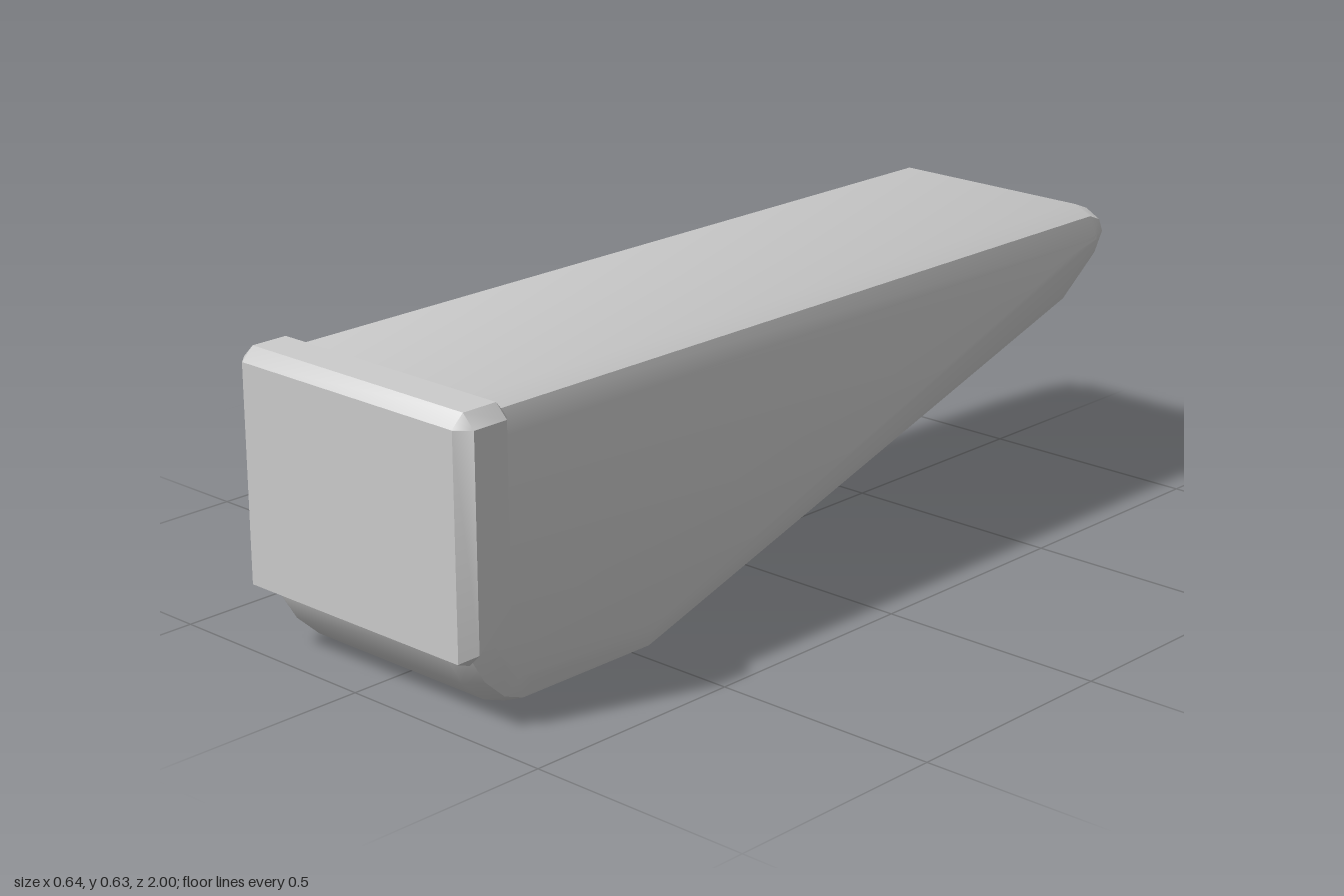
import * as THREE from 'three';
import { toCreasedNormals } from 'three/addons/utils/BufferGeometryUtils.js';

// Side outline of the wedge as [z, y], counter-clockwise
const OUTLINE = [
  [0.48, 0], [0.83, 0], [0.885, 0.02], [0.94, 0.07], [0.985, 0.145], [0.985, 0.56],
  [0.92, 0.626], [-0.935, 0.626], [-0.98, 0.608], [-1, 0.563], [-0.967, 0.507], [-0.85, 0.42],
];

// Wedge body: side outline extruded across the width with rounded rims
function wedgeBody() {
  const shape = new THREE.Shape(OUTLINE.map(([z, y]) => new THREE.Vector2(z, y)));
  const rim = 0.065, half = 0.302;
  const geo = new THREE.ExtrudeGeometry(shape, {
    depth: 2 * (half - rim), bevelEnabled: true, bevelThickness: rim,
    bevelSize: rim, bevelOffset: -rim, bevelSegments: 2,
  });
  geo.translate(0, 0, -(half - rim));
  geo.rotateY(-Math.PI / 2);
  return toCreasedNormals(geo, 0.65);
}

// Eight-cornered ring: half width, bottom, top and corner cut at one z
function ring([z, w, bottom, top, cut]) {
  return [
    [w - cut, bottom], [w, bottom + cut], [w, top - cut], [w - cut, top],
    [cut - w, top], [-w, top - cut], [-w, bottom + cut], [cut - w, bottom],
  ].map(([x, y]) => [x, y, z]);
}

// Front plate: rings joined from back to front, closed at both ends
function frontPlate() {
  const rings = [
    [0.87, 0.3, 0.225, 0.605, 0.01],
    [0.89, 0.322, 0.205, 0.627, 0.028],
    [0.972, 0.322, 0.133, 0.627, 0.028],
    [1, 0.294, 0.143, 0.6, 0.001],
  ].map(ring);
  const pos = rings.flat(2), index = [], n = 8;
  for (let r = 0; r < rings.length - 1; r++) {
    for (let i = 0; i < n; i++) {
      const a = r * n + i, b = r * n + (i + 1) % n;
      index.push(a, b, b + n, a, b + n, a + n);
    }
  }
  const last = (rings.length - 1) * n;
  for (let i = 1; i < n - 1; i++) {
    index.push(0, i + 1, i, last, last + i, last + i + 1);
  }
  const geo = new THREE.BufferGeometry();
  geo.setAttribute('position', new THREE.Float32BufferAttribute(pos, 3));
  geo.setIndex(index);
  return toCreasedNormals(geo, 0.7);
}

export function createModel() {
  const group = new THREE.Group();
  group.name = 'wedge';
  const grey = new THREE.MeshStandardMaterial({ color: 0xcccccc });
  grey.name = 'light grey';
  for (const [name, geo] of [['wedgeBody', wedgeBody()], ['frontPlate', frontPlate()]]) {
    const mesh = new THREE.Mesh(geo, grey);
    mesh.name = name;
    group.add(mesh);
  }
  return group;
}
